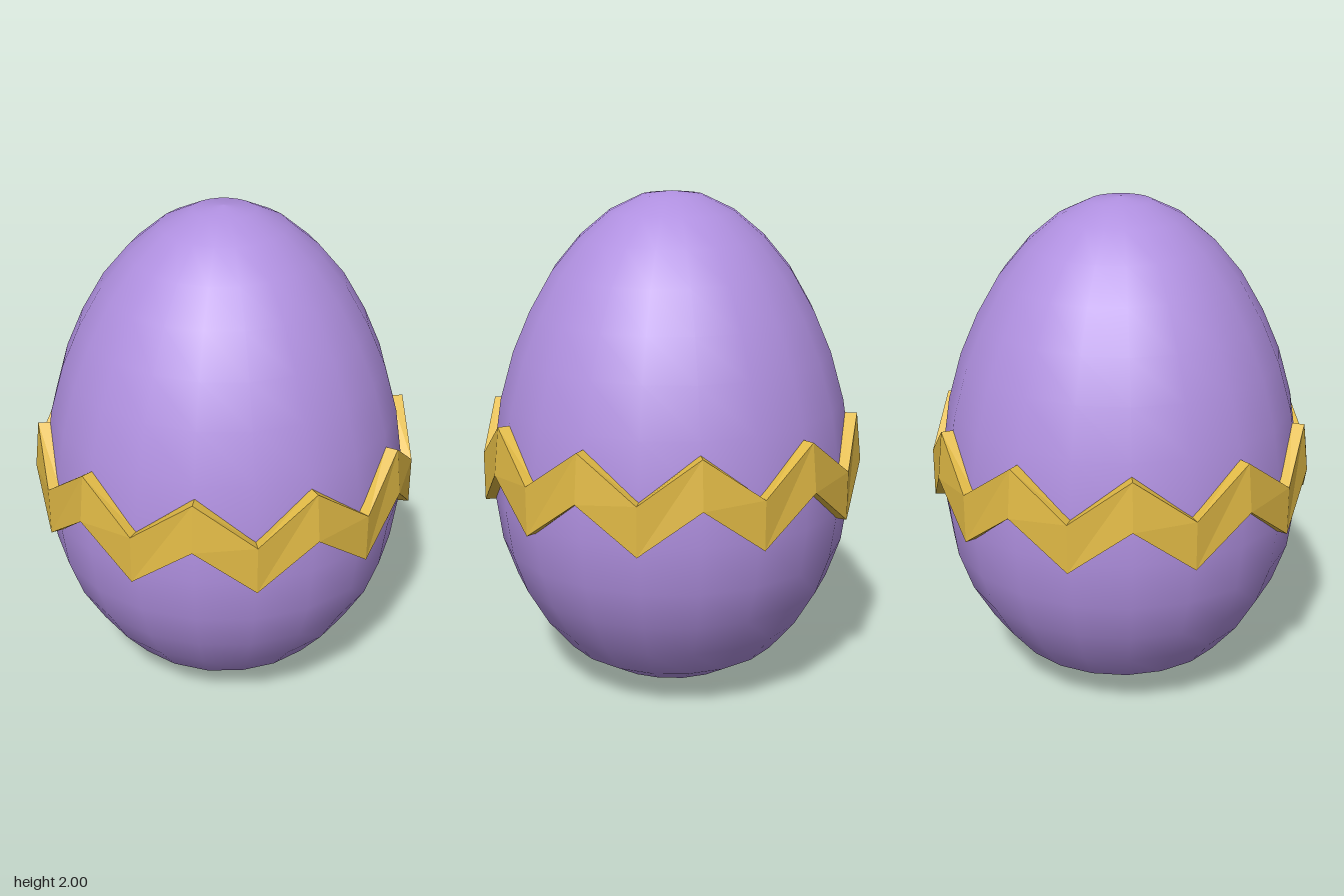
import * as THREE from 'three';

const SIDES = 20;

// Zigzag ring with a four-cornered section, one section per side
function zigzagGeometry() {
  // each section: [radius, y] for outer bottom, outer top, inner top, inner bottom
  const valley = [[0.76, 0.78], [0.76, 0.975], [0.715, 0.975], [0.715, 0.78]];
  const peak = [[0.76, 0.955], [0.74, 1.145], [0.69, 1.145], [0.715, 0.955]];
  const positions = [];
  const index = [];
  for (let i = 0; i < SIDES; i++) {
    const a = (i / SIDES) * Math.PI * 2;
    for (const [r, y] of i % 2 ? peak : valley) {
      positions.push(r * Math.sin(a), y, r * Math.cos(a));
    }
    const next = (i + 1) % SIDES;
    for (let k = 0; k < 4; k++) {
      const l = (k + 1) % 4;
      const a0 = i * 4 + k, b0 = next * 4 + k, b1 = next * 4 + l, a1 = i * 4 + l;
      index.push(a0, b0, b1, a0, b1, a1);
    }
  }
  const indexed = new THREE.BufferGeometry();
  indexed.setAttribute('position', new THREE.Float32BufferAttribute(positions, 3));
  indexed.setIndex(index);
  const geometry = indexed.toNonIndexed(); // crisp flat faces
  geometry.computeVertexNormals();
  return geometry;
}

export function createModel() {
  const purple = new THREE.MeshStandardMaterial({ color: 0xb090e0 });
  purple.name = 'purple shell';
  const gold = new THREE.MeshStandardMaterial({ color: 0xe0b945 });
  gold.name = 'gold trim';

  // Smooth shell, profile from bottom to top
  const profile = [
    [0, 0], [0.16, 0.025], [0.305, 0.08], [0.45, 0.17], [0.555, 0.3], [0.64, 0.45],
    [0.695, 0.61], [0.72, 0.8], [0.715, 1], [0.685, 1.195], [0.63, 1.385],
    [0.56, 1.545], [0.47, 1.7], [0.365, 1.825], [0.245, 1.925], [0.12, 1.985], [0, 2],
  ].map(([r, y]) => new THREE.Vector2(r, y));
  const shell = new THREE.Mesh(new THREE.LatheGeometry(profile, SIDES), purple);
  shell.name = 'eggShell';

  // Raised zigzag around the middle
  const band = new THREE.Mesh(zigzagGeometry(), gold);
  band.name = 'zigzagBand';

  const model = new THREE.Group();
  model.name = 'decoratedEgg';
  model.add(shell, band);
  return model;
}
